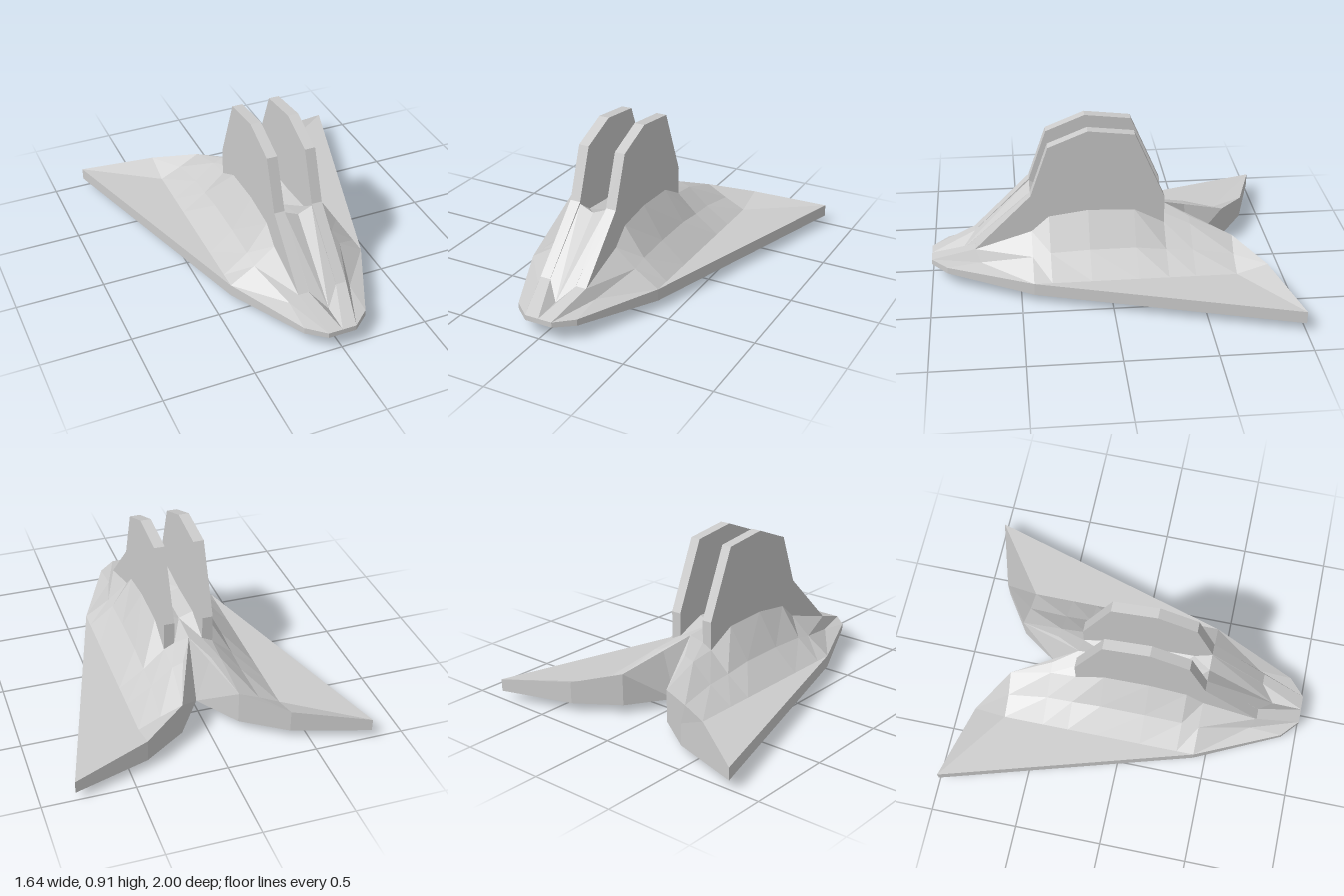
import * as THREE from 'three';

const material = () => new THREE.MeshStandardMaterial({ color: 0xcccccc, flatShading: true });

// Flat polygons given for the +x half, fanned into triangles and mirrored to -x
function mirroredMesh(name, polygons) {
  const positions = [];
  const flip = ([x, y, z]) => [-x, y, z];
  for (const p of polygons) {
    for (let i = 1; i < p.length - 1; i++) {
      const [a, b, c] = [p[0], p[i], p[i + 1]];
      const area = new THREE.Triangle(
        new THREE.Vector3(...a), new THREE.Vector3(...b), new THREE.Vector3(...c)).getArea();
      if (area < 1e-6) continue; // merged corners
      positions.push(...a, ...b, ...c, ...flip(a), ...flip(c), ...flip(b));
    }
  }
  const geometry = new THREE.BufferGeometry();
  geometry.setAttribute('position', new THREE.Float32BufferAttribute(positions, 3));
  geometry.computeVertexNormals();
  const mesh = new THREE.Mesh(geometry, material());
  mesh.name = name;
  return mesh;
}

// Quads between neighbouring rows of points
function loft(rows) {
  const quads = [];
  for (let i = 0; i < rows.length - 1; i++)
    for (let j = 0; j < rows[i].length - 1; j++)
      quads.push([rows[i][j], rows[i][j + 1], rows[i + 1][j + 1], rows[i + 1][j]]);
  return quads;
}

// Regular body section: heights at the centre, fin inside, fin outside, shoulder and wing root
const section = (z, ...heights) => heights.map((y, i) => [[0, 0.08, 0.14, 0.26, 0.4][i], y, z]);

export function createModel() {
  const model = new THREE.Group();
  model.name = 'wedgeCraft';

  // Shared corners
  const noseSide = [0.18, 0.12, 0.91];
  const cheek = [0.18, 0.145, 0.72];
  const wingFront = [0.4, 0.12, 0.43];
  const wingBack = [0.4, 0.12, -0.7];
  const wingTip = [0.82, 0.12, -1];
  const trailMid = [0.4, 0.175, -0.87];
  const trailIn = [0.16, 0.235, -0.71];
  const notchSide = [0.08, 0.33, -0.47];
  const notchTop = [0, 0.385, -0.33];

  // Upper body, lofted from nose to tail
  const row3 = section(0.33, 0.42, 0.45, 0.4, 0.23, 0.12);
  row3[0][2] = 0.23;
  const row6 = section(-0.32, 0, 0.36, 0.33, 0.22, 0.12);
  row6[0] = notchTop;
  const row7 = section(-0.47, 0, 0.33, 0.31, 0.21, 0.12);
  row7[0] = notchTop;
  row7[1] = notchSide;
  const body = loft([
    [[0, 0.12, 1], [0.08, 0.12, 1], [0.08, 0.12, 1], noseSide, noseSide],
    [[0, 0.13, 0.83], [0.08, 0.21, 0.75], [0.14, 0.21, 0.75], cheek, cheek],
    section(0.43, 0.485, 0.52, 0.31, 0.21, 0.12),
    row3,
    section(0.11, 0.4, 0.43, 0.43, 0.24, 0.12),
    section(-0.15, 0.4, 0.43, 0.42, 0.24, 0.12),
    row6,
    row7,
    [notchSide, trailIn, trailIn, [0.28, 0.178, -0.7], wingBack],
    [notchSide, trailIn, trailIn, trailMid, trailMid],
  ]);
  body.push([noseSide, wingFront, cheek]);
  model.add(mirroredMesh('upperBody', body));

  // Wing plates
  model.add(mirroredMesh('wings', [
    [wingFront, wingTip, wingBack],
    [wingBack, wingTip, trailMid],
  ]));

  // Rim wall from nose round to the tail notch
  const topRim = [[0, 0.12, 1], [0.08, 0.12, 1], noseSide, wingFront, wingTip,
    trailMid, trailIn, notchSide, notchTop];
  const bottomY = [0.09, 0.09, 0.083, 0.05, 0.05, 0.05, 0.05];
  const bottomRim = bottomY.map((y, i) => [topRim[i][0], y, topRim[i][2]]);
  const notchBase = [0, 0.05, -0.47];
  bottomRim.push(notchBase, notchBase);
  const rim = [];
  for (let i = 0; i < topRim.length - 1; i++)
    rim.push([topRim[i], bottomRim[i], bottomRim[i + 1], topRim[i + 1]]);
  model.add(mirroredMesh('rim', rim));

  // Underside, tilting up towards the nose
  const [b0, b1, b2, b3, b4, b5, b6] = bottomRim;
  const keelFront = [0, 0.083, 0.91], keelMid = [0, 0.05, 0.43];
  model.add(mirroredMesh('underside', [
    [keelFront, b2, b1, b0],
    [keelMid, b3, b2, keelFront],
    [b3, keelMid, notchBase, b6, b5, b4],
  ]));

  // Twin upright fins, profile drawn as (z, y)
  const finShape = new THREE.Shape([
    [0.75, 0.21], [0.43, 0.53], [0.33, 0.82], [0.11, 0.91], [-0.15, 0.88], [-0.32, 0.49],
    [-0.32, 0.33], [-0.15, 0.35], [0.3, 0.3], [0.43, 0.25],
  ].map(([z, y]) => new THREE.Vector2(z, y)));
  const finGeometry = new THREE.ExtrudeGeometry(finShape, { depth: 0.06, bevelEnabled: false });
  finGeometry.rotateY(-Math.PI / 2);
  for (const [name, x] of [['leftFin', 0.141], ['rightFin', -0.081]]) {
    const fin = new THREE.Mesh(finGeometry, material());
    fin.name = name;
    fin.position.x = x;
    model.add(fin);
  }

  // Six pointed feet
  const footGeometry = new THREE.ConeGeometry(0.052, 0.052, 4);
  footGeometry.rotateX(Math.PI);
  for (const [x, tip, z] of [[0.092, 0.025, 0.795], [0.25, 0, 0.185], [0.375, 0, -0.405]])
    for (const side of [1, -1]) {
      const foot = new THREE.Mesh(footGeometry, material());
      foot.name = 'foot';
      foot.position.set(side * x, tip + 0.026, z);
      model.add(foot);
    }

  return model;
}
